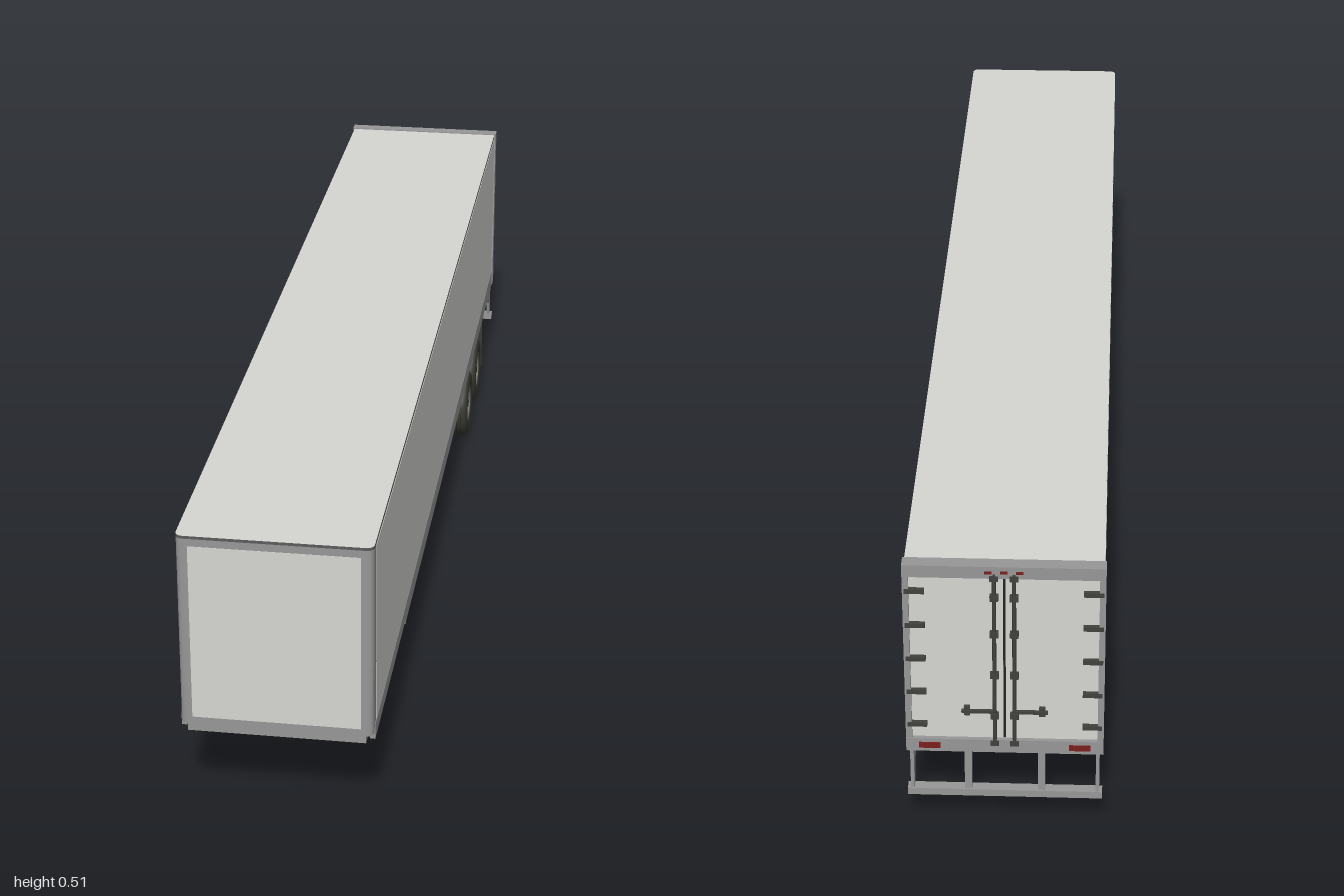
import * as THREE from 'three';

const mat = (name, color) => {
  const m = new THREE.MeshStandardMaterial({ color });
  m.name = name;
  return m;
};

export function createModel() {
  const root = new THREE.Group();
  root.name = 'boxTrailer';

  const white = mat('panelWhite', 0xd6d6d3);
  const trim = mat('trimGrey', 0x979797);
  const edge = mat('edgeGrey', 0x5c5c5c);
  const rubber = mat('tyreRubber', 0x3a3a34);
  const rimGrey = mat('rimGrey', 0x666662);
  const steel = mat('chassisSteel', 0x41413d);
  const black = mat('undersideBlack', 0x242421);
  const red = mat('lampRed', 0x7a1f1c);

  const add = (name, geo, material, x = 0, y = 0, z = 0, parent = root) => {
    const m = new THREE.Mesh(geo, material);
    m.name = name;
    m.position.set(x, y, z);
    parent.add(m);
    return m;
  };
  // Box given by its limits on each axis
  const box = (name, material, x0, x1, y0, y1, z0, z1, parent = root) =>
    add(name, new THREE.BoxGeometry(x1 - x0, y1 - y0, z1 - z0), material,
      (x0 + x1) / 2, (y0 + y1) / 2, (z0 + z1) / 2, parent);
  // Round bar between two points
  const bar = (name, material, a, b, r, parent = root) => {
    const p = new THREE.Vector3(...a), q = new THREE.Vector3(...b);
    const m = add(name, new THREE.CylinderGeometry(r, r, p.distanceTo(q), 12), material, 0, 0, 0, parent);
    m.position.copy(p).add(q).multiplyScalar(0.5);
    m.quaternion.setFromUnitVectors(new THREE.Vector3(0, 1, 0), q.sub(p).normalize());
    return m;
  };

  // Cargo body: plan outline with rounded front corners, white roof and grey walls
  const W = 0.158, R = 0.014;
  const plan = new THREE.Shape();
  plan.moveTo(-W, -0.98);
  plan.lineTo(W, -0.98);
  plan.lineTo(W, 1 - R);
  plan.quadraticCurveTo(W, 1, W - R, 1);
  plan.lineTo(-W + R, 1);
  plan.quadraticCurveTo(-W, 1, -W, 1 - R);
  plan.closePath();
  const planSolid = (y0, y1) => {
    const g = new THREE.ExtrudeGeometry(plan, { depth: y1 - y0, bevelEnabled: false, curveSegments: 6 });
    return g.rotateX(Math.PI / 2).translate(0, y1, 0);
  };
  add('cargoBody', planSolid(0.165, 0.503), [white, trim]);
  add('roofEdge', planSolid(0.503, 0.508), [white, edge]);
  box('frontPanel', white, -0.138, 0.138, 0.178, 0.49, 0.999, 1.0005);
  box('frontBottomRail', trim, -0.146, 0.146, 0.152, 0.17, 0.975, 1);
  box('floorUnderside', black, -0.155, 0.155, 0.161, 0.166, -0.975, 0.98);
  box('couplerPlate', black, -0.13, 0.13, 0.154, 0.162, 0.62, 0.975);
  add('kingpin', new THREE.CylinderGeometry(0.007, 0.007, 0.012, 16), steel, 0, 0.15, 0.82);

  for (const s of [-1, 1]) {
    const side = (name, material, xa, xb, ...r) =>
      box(name, material, Math.min(s * xa, s * xb), Math.max(s * xa, s * xb), ...r);
    side('sidePanel', white, 0.157, 0.1588, 0.181, 0.5, -0.968, 0.97);
    side('sideRailFront', trim, 0.15, 0.159, 0.153, 0.18, 0.6, 0.986);
    side('sideRail', trim, 0.15, 0.159, 0.146, 0.18, -0.98, 0.6);
    side('floorBeam', steel, 0.052, 0.06, 0.15, 0.163, -0.97, 0.62);
    side('sliderRail', steel, 0.056, 0.066, 0.136, 0.152, -0.86, -0.33);
  }

  // Floor crossmembers
  for (let i = 0; i < 14; i++) {
    const z = 0.9 - i * 0.14;
    box('crossmember', steel, -0.152, 0.152, 0.151, 0.162, z - 0.005, z + 0.005);
  }

  // Rear frame and doors
  box('rearHeader', trim, -0.161, 0.161, 0.488, 0.51, -0.9985, -0.975);
  box('rearSill', trim, -0.161, 0.161, 0.147, 0.172, -0.998, -0.975);
  for (let i = -1; i <= 1; i++)
    box('headerLamp', red, i * 0.025 - 0.006, i * 0.025 + 0.006, 0.497, 0.502, -0.9995, -0.998);
  for (const s of [-1, 1]) {
    const d = new THREE.Group();
    d.name = s > 0 ? 'leftDoor' : 'rightDoor';
    root.add(d);
    const part = (name, m, xa, xb, ...r) =>
      box(name, m, Math.min(s * xa, s * xb), Math.max(s * xa, s * xb), ...r, d);
    part('rearPost', trim, 0.151, 0.161, 0.147, 0.51, -0.997, -0.975);
    part('doorPanel', white, 0.002, 0.151, 0.172, 0.488, -0.991, -0.978);
    part('doorSeal', black, 0, 0.002, 0.172, 0.488, -0.99, -0.978);
    for (const y of [0.2, 0.265, 0.33, 0.395, 0.46])
      part('hinge', steel, 0.126, 0.158, y - 0.004, y + 0.004, -0.9985, -0.99);
    bar('lockRod', steel, [s * 0.016, 0.162, -0.996], [s * 0.016, 0.496, -0.996], 0.0033, d);
    for (const y of [0.166, 0.22, 0.3, 0.38, 0.45, 0.488])
      part('rodBracket', steel, 0.009, 0.023, y - 0.005, y + 0.005, -0.9995, -0.99);
    part('lockHandle', steel, 0.016, 0.07, 0.226, 0.231, -0.9995, -0.994);
    part('handleCatch', steel, 0.056, 0.066, 0.22, 0.237, -0.997, -0.99);
    part('tailLamp', red, 0.105, 0.14, 0.154, 0.165, -0.9995, -0.998);
  }

  // Rear underrun guard: gusset posts and bumper bar
  const gusset = new THREE.Shape([[0.9, 0.15], [0.998, 0.15], [0.998, 0.065], [0.985, 0.065],
    [0.975, 0.102]].map(([x, y]) => new THREE.Vector2(x, y)));
  const gussetGeo = new THREE.ExtrudeGeometry(gusset, { depth: 0.006, bevelEnabled: false })
    .rotateY(Math.PI / 2).translate(-0.003, 0, 0);
  for (const x of [-0.152, 0.152]) add('guardGusset', gussetGeo, trim, x);
  for (const x of [-0.06, 0.06]) {
    box('guardPost', trim, x - 0.006, x + 0.006, 0.065, 0.15, -0.997, -0.985);
    bar('guardBrace', trim, [x, 0.148, -0.9], [x, 0.1, -0.988], 0.004);
  }
  box('guardBar', trim, -0.16, 0.16, 0.058, 0.071, -1, -0.982);

  // Wheel parts are turned about the x axis, outer face towards +x
  const lathe = (pts, seg = 40) => new THREE.LatheGeometry(
    pts.map(([r, x]) => new THREE.Vector2(r, x)), seg).rotateZ(-Math.PI / 2);
  const tyreGeo = lathe([[0.037, -0.017], [0.041, -0.0195], [0.052, -0.0215], [0.062, -0.02], [0.067, -0.0165],
    [0.0685, -0.01], [0.0685, 0.01], [0.067, 0.0165], [0.062, 0.02], [0.052, 0.0215], [0.041, 0.0195],
    [0.037, 0.017]]);
  const grooveGeo = new THREE.TorusGeometry(0.0681, 0.0008, 4, 40).rotateY(Math.PI / 2);
  const barrelGeo = lathe([[0.034, -0.018], [0.038, -0.0185], [0.038, 0.0185], [0.034, 0.018],
    [0.033, 0.004], [0.033, -0.004], [0.034, -0.018]]);
  const discGeo = lathe([[0.0001, -0.003], [0.018, -0.003], [0.034, -0.003], [0.034, 0.001],
    [0.026, 0.005], [0.018, 0.003], [0.0001, 0.003]]);
  const hubGeo = lathe([[0.013, 0], [0.013, 0.008], [0.01, 0.013], [0.008, 0.016], [0.0001, 0.016]], 20);
  const nutGeo = new THREE.CylinderGeometry(0.0016, 0.0016, 0.005, 6).rotateZ(Math.PI / 2);
  const holeGeo = new THREE.CylinderGeometry(0.0034, 0.0034, 0.003, 10).rotateZ(Math.PI / 2);
  const makeWheel = () => {
    const w = new THREE.Group();
    w.name = 'wheel';
    add('tyre', tyreGeo, rubber, 0, 0, 0, w);
    for (const x of [-0.008, 0, 0.008]) add('treadGroove', grooveGeo, black, x, 0, 0, w);
    add('rimBarrel', barrelGeo, rimGrey, 0, 0, 0, w);
    add('rimDisc', discGeo, rimGrey, 0, 0, 0, w);
    add('hub', hubGeo, steel, 0.002, 0, 0, w);
    for (let i = 0; i < 10; i++) {
      const a = (i / 10) * Math.PI * 2, c = Math.cos(a), s = Math.sin(a);
      add('wheelNut', nutGeo, steel, 0.004, 0.017 * c, 0.017 * s, w);
      add('handHole', holeGeo, black, 0.0036, 0.026 * c, 0.026 * s, w);
    }
    return w;
  };

  // Tandem axles with dual wheels, springs and brake drums
  const Y = 0.0685;
  for (const z of [-0.495, -0.673]) {
    bar('axle', steel, [-0.13, Y, z], [0.13, Y, z], 0.009);
    for (const s of [-1, 1]) {
      for (const x of [0.0965, 0.1395]) {
        const w = makeWheel();
        w.position.set(s * x, Y, z);
        if (s < 0) w.rotation.y = Math.PI;
        root.add(w);
      }
      bar('brakeDrum', steel, [s * 0.07, Y, z], [s * 0.092, Y, z], 0.026);
      const x = s * 0.06;
      box('axleSeat', steel, x - 0.011, x + 0.011, 0.057, 0.09, z - 0.016, z + 0.016);
      // Leaf spring pack, shorter leaves at the bottom
      for (let i = 0; i < 4; i++) {
        const h = 0.078 - i * 0.014;
        box('springLeaf', steel, x - 0.008, x + 0.008, 0.101 - i * 0.004, 0.104 - i * 0.004, z - h, z + h);
      }
      for (const dz of [-0.012, 0.012])
        bar('springBolt', steel, [x, 0.058, z + dz], [x, 0.112, z + dz], 0.003);
    }
  }

  // Spring hangers, the middle one tapered between the axles
  const hangerGeo = new THREE.ExtrudeGeometry(new THREE.Shape([[-0.045, 0.145], [-0.018, 0.08], [0.018, 0.08],
    [0.045, 0.145]].map(([x, y]) => new THREE.Vector2(x, y))), { depth: 0.02, bevelEnabled: false })
    .rotateY(Math.PI / 2).translate(-0.01, 0, 0);
  for (const s of [-1, 1]) {
    add('middleHanger', hangerGeo, steel, s * 0.061, 0, -0.584);
    for (const z of [-0.41, -0.756])
      box('endHanger', steel, s * 0.061 - 0.01, s * 0.061 + 0.01, 0.095, 0.145, z - 0.012, z + 0.012);
    for (const z of [-0.43, -0.61])
      bar('torqueArm', steel, [s * 0.048, 0.1, z], [s * 0.048, 0.07, z - 0.065], 0.004);
    // Mud flaps
    const x = s * 0.118;
    box('mudFlap', rubber, x - 0.041, x + 0.041, 0.035, 0.138, -0.768, -0.764);
  }
  box('flapBracket', steel, -0.158, 0.158, 0.136, 0.146, -0.77, -0.758);
  for (const z of [-0.4, -0.584])
    box('bogieCrossbeam', steel, -0.066, 0.066, 0.128, 0.146, z - 0.01, z + 0.01);
  box('airTank', black, -0.04, 0.04, 0.08, 0.143, -0.61, -0.56);

  return root;
}
